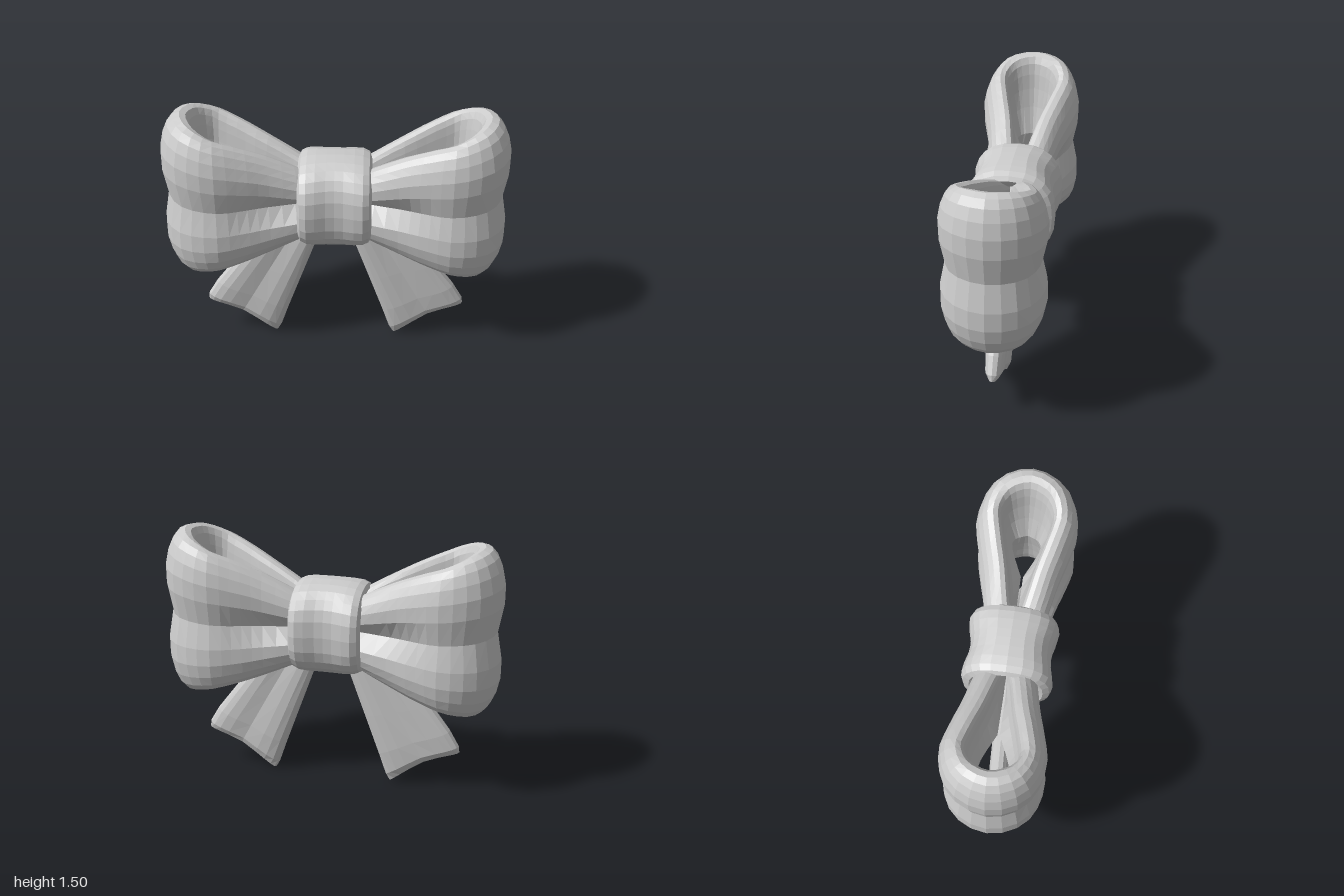
import * as THREE from 'three';

// Skin a grid of points: rows along the part, each row a closed ring.
function skin(rows, mirror) {
  const n = rows[0].length, pos = [], idx = [];
  for (const row of rows) for (const [x, y, z] of row) pos.push(mirror * x, y, z);
  for (let i = 0; i < rows.length - 1; i++) {
    for (let j = 0; j < n; j++) {
      const k = (j + 1) % n;
      const a = i * n + j, b = (i + 1) * n + j, c = (i + 1) * n + k, d = i * n + k;
      if (mirror > 0) idx.push(a, b, d, b, c, d);
      else idx.push(a, d, b, b, d, c);
    }
  }
  const g = new THREE.BufferGeometry();
  g.setAttribute('position', new THREE.Float32BufferAttribute(pos, 3));
  g.setIndex(idx);
  g.computeVertexNormals();
  return g;
}

// Superellipse ring as unit [cos, sin] pairs
function ring(count, p) {
  const f = (v) => Math.sign(v) * Math.abs(v) ** (2 / p);
  return Array.from({ length: count }, (_, j) => {
    const t = (j / count) * Math.PI * 2;
    return [f(Math.cos(t)), f(Math.sin(t))];
  });
}

// Hollow loop: a thick ribbon swept round a teardrop, pinched at mid height
function loopGeometry(mirror) {
  // x, ribbon half height, z of the front half
  const half = [
    [0.08, 0.17, 0.06], [0.2, 0.23, 0.1], [0.4, 0.325, 0.145], [0.55, 0.385, 0.188],
    [0.7, 0.435, 0.215], [0.83, 0.475, 0.15],
  ];
  const pts = [...half, [0.89, 0.487, 0], ...half.slice().reverse().map(([x, h, z]) => [x, h, -z])];
  const curve = new THREE.CatmullRomCurve3(pts.map((p) => new THREE.Vector3(...p)));
  const section = ring(24, 2.5), steps = 32, rows = [];
  for (let i = 0; i <= steps; i++) {
    const u = i / steps, p = curve.getPoint(u), t = curve.getTangent(u);
    const len = Math.hypot(t.x, t.z), nx = -t.z / len, nz = t.x / len;
    const near = THREE.MathUtils.clamp((0.6 - p.x) / 0.4, 0, 1);
    const thick = 0.087 + 0.023 * THREE.MathUtils.smoothstep(p.x, 0.7, 0.89);
    const side = u < 0.5 ? 1 : -1;
    rows.push(section.map(([c, s]) => {
      const valley = (0.045 + 0.06 * near) * Math.exp(-((s / (0.3 - 0.08 * near)) ** 2));
      const off = thick * c - valley - 0.025 * Math.abs(s) ** 4;
      let z = p.z + nz * off;
      if (p.x < 0.7) z = side * Math.max(side * z, 0.006);
      return [p.x + nx * off, 0.96 + 0.065 * p.x + p.y * s, z];
    }));
  }
  return skin(rows, mirror);
}

// Flared tail with a shallow channel and a notched end
function tailGeometry(mirror) {
  // inner edge x, y, outer edge x, y, half thickness, notch
  const spec = [
    [0.0, 0.95, 0.2, 1.0, 0, 0],
    [0.0, 0.95, 0.2, 1.0, 0.05, 0],
    [0.1, 0.7, 0.41, 0.76, 0.06, 0],
    [0.2, 0.42, 0.59, 0.53, 0.066, 0],
    [0.285, 0.18, 0.71, 0.37, 0.068, 0.01],
    [0.33, 0.045, 0.765, 0.275, 0.06, 0.03],
    [0.355, 0.0, 0.77, 0.235, 0.035, 0.04],
    [0.375, 0.01, 0.755, 0.225, 0, 0.045],
  ];
  const section = ring(20, 2.6);
  return skin(spec.map(([lx, ly, rx, ry, h, notch]) => section.map(([c, s]) => {
    const w = (c + 1) / 2;
    const groove = 1 - 0.35 * Math.exp(-((c / 0.4) ** 2));
    return [
      lx + (rx - lx) * w,
      ly + (ry - ly) * w + notch * Math.sin(Math.PI * w),
      0.004 - s * h * groove,
    ];
  })), mirror);
}

// Knot: a rounded band with swollen edges that tuck inwards
function knotGeometry() {
  // x, y radius, z radius
  const half = [
    [0.15, 0.16, 0.1], [0.19, 0.2, 0.16], [0.21, 0.225, 0.21], [0.195, 0.25, 0.245],
    [0.16, 0.265, 0.26], [0.11, 0.272, 0.252], [0.05, 0.275, 0.236],
  ];
  const prof = [
    ...half.map(([x, a, b]) => [-x, a, b]), [0, 0.276, 0.232], ...half.slice().reverse(),
  ];
  const section = ring(24, 2.5);
  return skin(prof.map(([x, ry, rz]) => section.map(([c, s]) => [x, 0.975 + ry * c, -rz * s])), 1);
}

export function createModel() {
  const model = new THREE.Group();
  model.name = 'ribbonBow';
  const ribbon = new THREE.MeshStandardMaterial({
    name: 'light grey ribbon', color: 0xcccccc, flatShading: true, side: THREE.DoubleSide,
  });
  const add = (name, geometry) => {
    const mesh = new THREE.Mesh(geometry, ribbon);
    mesh.name = name;
    model.add(mesh);
  };
  for (const [label, m] of [['left', 1], ['right', -1]]) {
    add(label + 'Loop', loopGeometry(m));
    add(label + 'Tail', tailGeometry(m));
  }
  add('knot', knotGeometry());
  return model;
}
